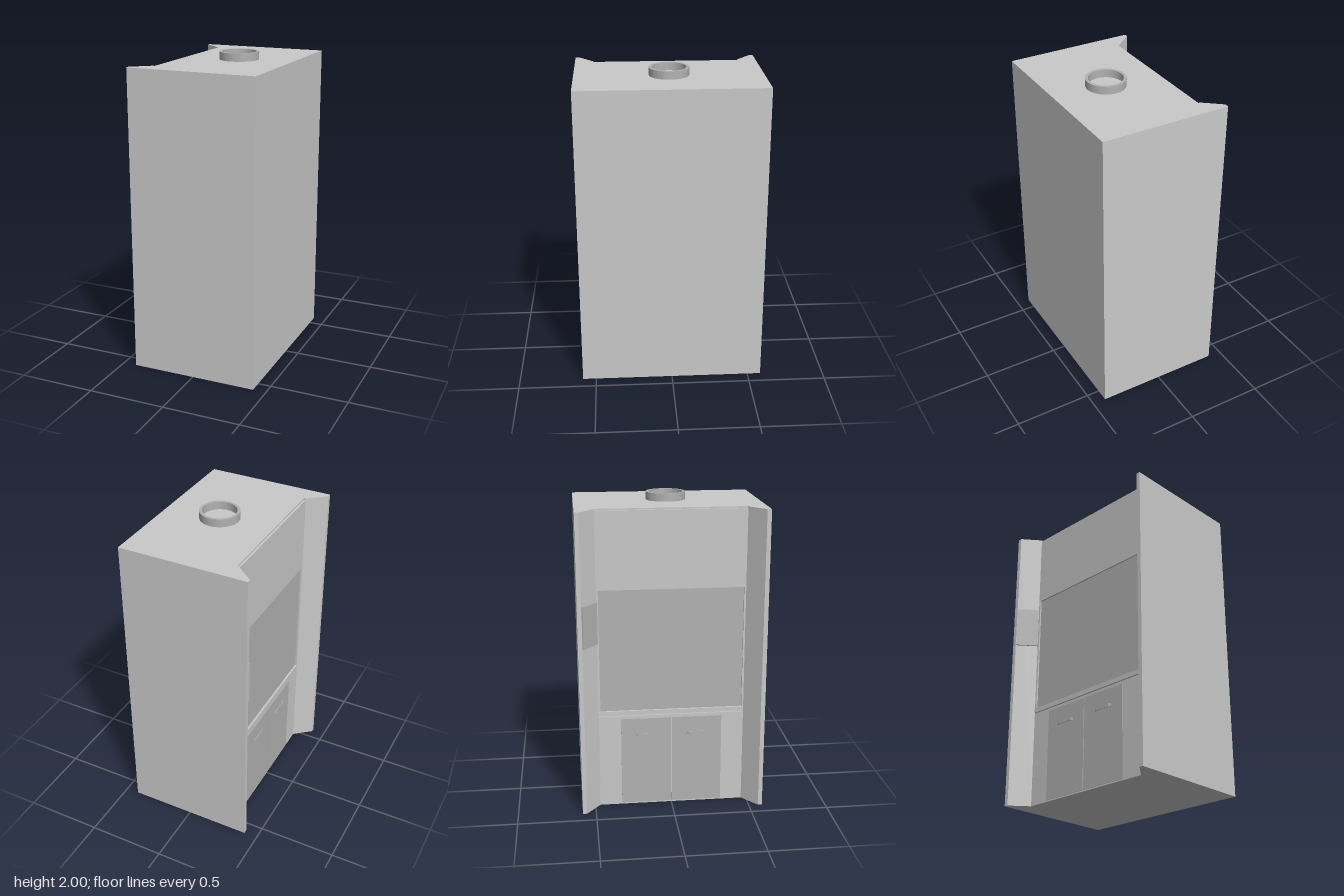
import * as THREE from 'three';

export function createModel() {
  const group = new THREE.Group();
  const casing = new THREE.MeshStandardMaterial({ color: 0xc9c9c9 });
  casing.name = 'casing grey';
  const trim = new THREE.MeshStandardMaterial({ color: 0xb2b2b2 });
  trim.name = 'trim grey';

  const add = (name, geometry, material) => {
    const mesh = new THREE.Mesh(geometry, material);
    mesh.name = name;
    group.add(mesh);
    return mesh;
  };
  // Box given by its limits on each axis
  const box = (name, material, [x0, x1], [y0, y1], [z0, z1]) => {
    const mesh = add(name, new THREE.BoxGeometry(x1 - x0, y1 - y0, z1 - z0), material);
    mesh.position.set((x0 + x1) / 2, (y0 + y1) / 2, (z0 + z1) / 2);
    return mesh;
  };
  // Plan outline extruded upwards; plan points are (x, -z)
  const plan = (points, height) => {
    const shape = new THREE.Shape(points.map(([x, y]) => new THREE.Vector2(x, y)));
    return new THREE.ExtrudeGeometry(shape, { depth: height, bevelEnabled: false }).rotateX(-Math.PI / 2);
  };

  const H = 1.95, W = 0.587, back = -0.285, face = -0.298, tip = -0.412, half = 0.467;

  // Cabinet with flared side wings around the working side
  add('cabinet', plan([
    [0.415, -W], [0.415, W], [tip, W], [tip, 0.56], [face, half], [back, half],
    [back, -half], [face, -half], [tip, -0.56], [tip, -W],
  ], H), casing);

  // Panels framing the recessed sash
  box('upperPanel', casing, [face, back], [1.45, 1.94], [-half, half]);
  box('lowerPanel', casing, [face, back], [0, 0.62], [-half, half]);
  box('sill', casing, [face - 0.003, back], [0.625, 0.655], [-half, half]);
  for (const s of [-1, 1]) {
    const z = [s * half, s * 0.455].sort((a, b) => a - b);
    box('sashStile', casing, [face, back], [0.655, 1.45], z);
  }
  box('sash', trim, [back - 0.003, back], [0.655, 1.45], [-0.455, 0.455]);

  // Cupboard doors with bow handles
  for (const s of [-1, 1]) {
    const z = [s * 0.003, s * 0.325].sort((a, b) => a - b);
    box('door', trim, [face - 0.003, face], [0.01, 0.6], z);

    const c = s * 0.165;
    const bow = (x, w) => [[x, c - w]];
    const outer = [[face, c - 0.073], [-0.311, c - 0.053], [-0.311, c + 0.053], [face, c + 0.073]];
    const inner = [[face, c + 0.069], [-0.307, c + 0.051], [-0.307, c - 0.051], [face, c - 0.069]];
    const handle = add('doorHandle', plan([...outer, ...inner].map(([x, z]) => [x, -z]), 0.02), trim);
    handle.position.y = 0.48;
  }

  // Control panel on one wing
  const dx = face - tip, dz = 0.56 - half, len = Math.hypot(dx, dz);
  const control = add('controlPanel', new THREE.BoxGeometry(len - 0.004, 0.27, 0.009), trim);
  control.position.set((face + tip) / 2 - (dz / len) * 0.0045, 1.245, -(0.56 + half) / 2 + (dx / len) * 0.0045);
  control.rotation.y = -Math.atan2(dz, dx);

  // Exhaust collar
  const ring = new THREE.Shape().absarc(0, 0, 0.125, 0, Math.PI * 2);
  ring.holes.push(new THREE.Path().absarc(0, 0, 0.107, 0, Math.PI * 2, true));
  const collar = new THREE.ExtrudeGeometry(ring, { depth: 2 - H, bevelEnabled: false, curveSegments: 32 });
  add('exhaustCollar', collar.rotateX(-Math.PI / 2), trim).position.set(0.065, H, 0);

  return group;
}
